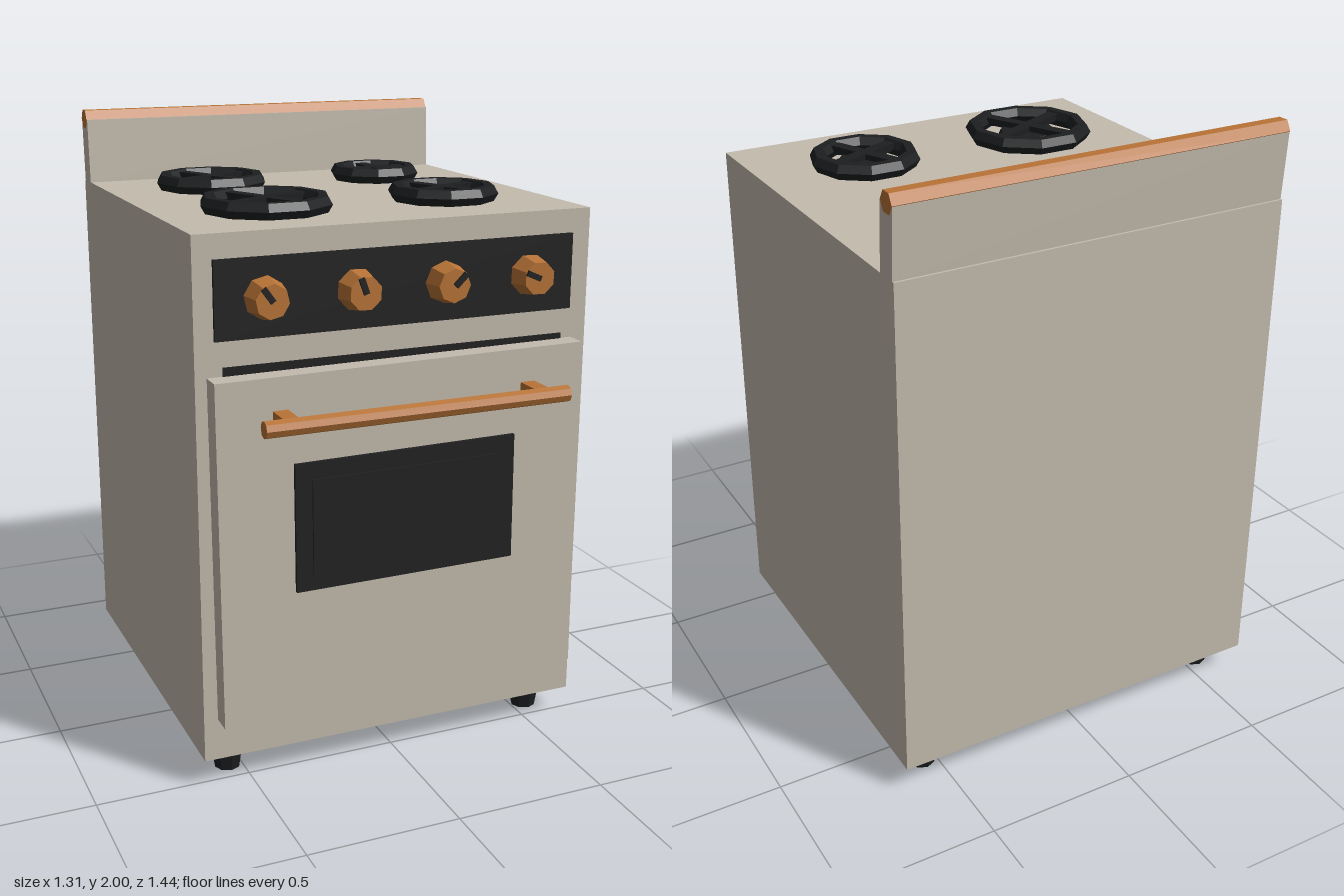
import * as THREE from 'three';

const mat = (name, color) => {
  const m = new THREE.MeshStandardMaterial({ color, flatShading: true });
  m.name = name;
  return m;
};

export function createModel() {
  const enamel = mat('cream enamel', 0xc3bbad);
  const copper = mat('copper', 0xb87336);
  const black = mat('black panel', 0x222222);
  const iron = mat('cast iron', 0x1c1e20);

  const stove = new THREE.Group();
  stove.name = 'stove';

  const add = (parent, name, geometry, material, x = 0, y = 0, z = 0) => {
    const mesh = new THREE.Mesh(geometry, material);
    mesh.name = name;
    mesh.position.set(x, y, z);
    parent.add(mesh);
    return mesh;
  };
  const box = (w, h, d) => new THREE.BoxGeometry(w, h, d);
  const group = (name, x, y, z) => {
    const g = new THREE.Group();
    g.name = name;
    g.position.set(x, y, z);
    stove.add(g);
    return g;
  };

  // Body
  add(stove, 'body', box(1.31, 1.665, 1.248), enamel, 0, 0.9225, -0.094);

  // Backsplash: a slab leaning slightly backwards, with a copper rail on top
  const slab = box(1.31, 0.215, 0.074);
  const p = slab.attributes.position;
  for (let i = 0; i < p.count; i++) {
    if (p.getY(i) > 0) p.setZ(i, p.getZ(i) - 0.011);
  }
  add(stove, 'backsplash', slab, enamel, 0, 1.8625, -0.673);
  add(stove, 'backsplashTrim',
    new THREE.CylinderGeometry(0.035, 0.035, 1.312, 6).rotateZ(Math.PI / 2), copper, 0, 1.97, -0.687);

  // Feet
  for (const x of [-0.547, 0.547]) {
    for (const z of [0.422, -0.605]) {
      add(stove, 'foot', new THREE.CylinderGeometry(0.056, 0.042, 0.09, 8), iron, x, 0.045, z);
    }
  }

  // Control panel and knobs
  add(stove, 'controlPanel', box(1.185, 0.24, 0.012), black, -0.002, 1.56, 0.535);
  const turns = [0.62, 0.35, -0.8, 1.15];
  turns.forEach((turn, i) => {
    const knob = group('knob', -0.44 + i * 0.292, 1.56, 0.54);
    knob.rotation.z = turn;
    add(knob, 'knobBody',
      new THREE.CylinderGeometry(0.053, 0.066, 0.07, 8).rotateX(Math.PI / 2), copper, 0, 0, 0.035);
    add(knob, 'knobPointer', box(0.018, 0.05, 0.012), black, 0, 0.025, 0.073);
  });

  // Oven door, hanging a touch askew over a dark opening
  add(stove, 'ovenGap', box(1.135, 1.133, 0.016), black, -0.002, 0.7935, 0.526);
  const door = group('ovenDoor', -0.003, 0.785, 0.53);
  door.rotation.z = 0.008;
  add(door, 'doorPanel', box(1.222, 1.105, 0.07), enamel, 0, 0, 0.035);
  add(door, 'windowFrame', box(0.742, 0.413, 0.012), black, 0, 0.073, 0.075);
  add(door, 'windowGlass', box(0.63, 0.305, 0.008), black, -0.002, 0.073, 0.084);

  // Handle
  add(stove, 'handleBar',
    new THREE.CylinderGeometry(0.027, 0.027, 1.005, 8).rotateZ(Math.PI / 2), copper, 0, 1.208, 0.692);
  for (const x of [-0.417, 0.412]) {
    add(stove, 'handlePost', box(0.048, 0.048, 0.1), copper, x, 1.208, 0.642);
  }

  // Burners: [x, z, outer radius, turn]
  const burners = [
    [-0.305, 0.195, 0.213, 0.46],
    [-0.305, -0.348, 0.191, 0.47],
    [0.305, 0.197, 0.181, 0.42],
    [0.305, -0.348, 0.158, 0.05],
  ];
  const tube = 0.029;
  for (const [x, z, radius, turn] of burners) {
    const burner = group('burner', x, 1.78, z);
    const ring = radius - tube;
    add(burner, 'burnerRing', new THREE.TorusGeometry(ring, tube, 6, 10).rotateX(Math.PI / 2), iron);
    const cap = add(burner, 'burnerCap',
      new THREE.CylinderGeometry(radius * 0.44, radius * 0.48, 0.024, 10), iron, 0, -0.012);
    cap.rotation.y = turn;
    for (const a of [turn, turn + Math.PI / 2]) {
      const bar = add(burner, 'burnerBar', box(ring * 2, 0.024, 0.04), iron, 0, 0.007);
      bar.rotation.y = a;
    }
  }

  return stove;
}
